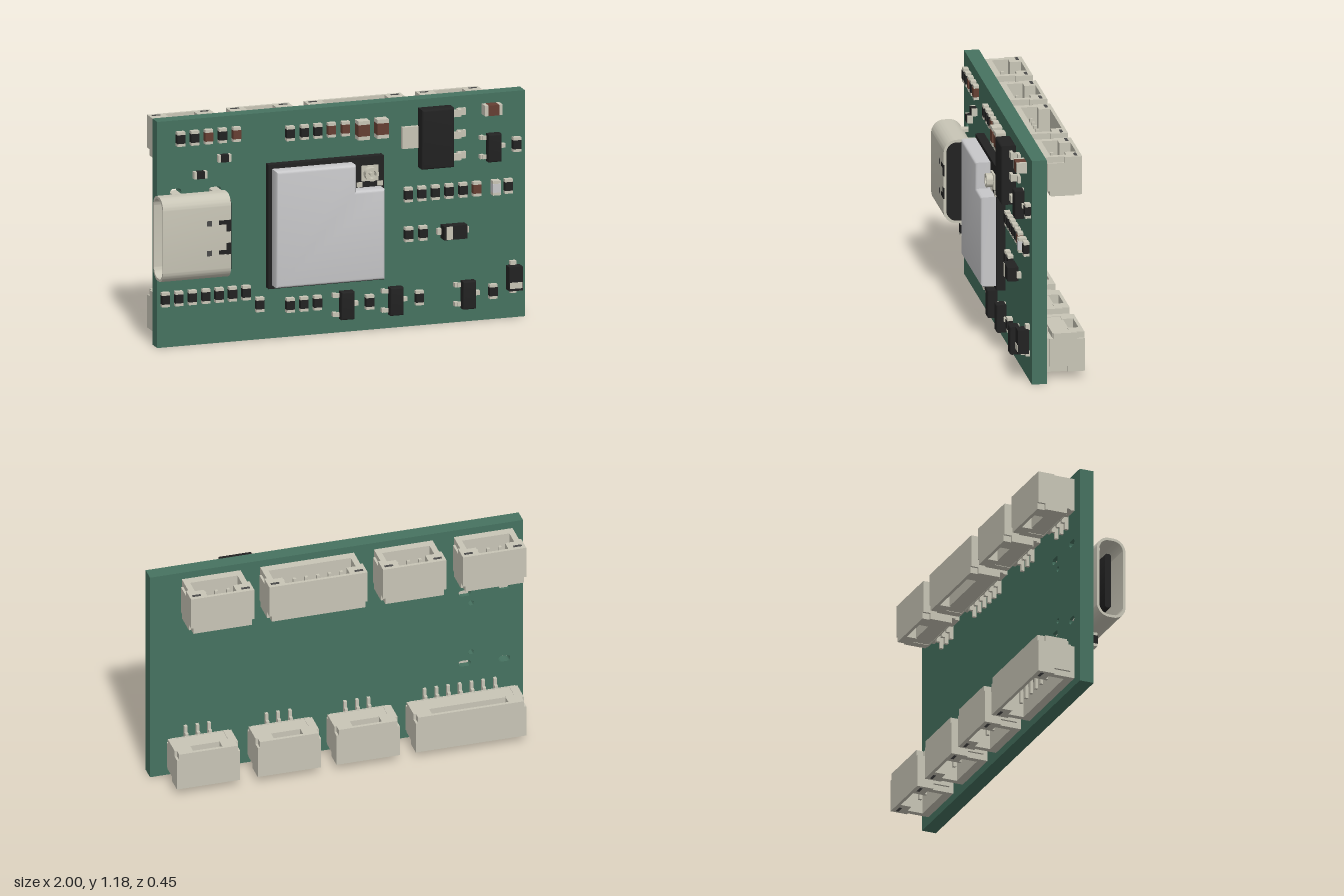
import * as THREE from 'three';
import { toCreasedNormals } from 'three/addons/utils/BufferGeometryUtils.js';

const mat = (name, color) => Object.assign(new THREE.MeshStandardMaterial({ color }), { name });

export function createModel() {
  const M = {
    green: mat('boardGreen', 0x467260), beige: mat('tinBeige', 0xc8c5b6), grey: mat('shieldGrey', 0xc8c8ca),
    black: mat('plasticBlack', 0x222222), brown: mat('ceramicBrown', 0x653f33), dark: mat('darkGrey', 0x4a4a4a),
  };
  const root = new THREE.Group();
  root.name = 'circuitBoard';
  const F = 0.062; // front face of the board

  const add = (parent, geo, material, name) => {
    const m = new THREE.Mesh(geo, material);
    m.name = name;
    parent.add(m);
    return m;
  };
  // Box from its minimum and maximum corners
  const box = (parent, name, material, x0, x1, y0, y1, z0, z1) => {
    const m = add(parent, new THREE.BoxGeometry(x1 - x0, y1 - y0, z1 - z0), material, name);
    m.position.set((x0 + x1) / 2, (y0 + y1) / 2, (z0 + z1) / 2);
    return m;
  };
  const rect = (C, x0, x1, y0, y1) => new C([[x0, y0], [x1, y0], [x1, y1], [x0, y1]].map(p => new THREE.Vector2(...p)));
  const rounded = (C, cx, cy, w, h, r) => {
    const s = new C(), X = w / 2 - r, Y = h / 2 - r;
    s.absarc(cx + X, cy + Y, r, 0, Math.PI / 2);
    s.absarc(cx - X, cy + Y, r, Math.PI / 2, Math.PI);
    s.absarc(cx - X, cy - Y, r, Math.PI, Math.PI * 1.5);
    s.absarc(cx + X, cy - Y, r, Math.PI * 1.5, Math.PI * 2);
    s.closePath();
    return s;
  };
  const extrude = (shape, depth, bevel = 0) => toCreasedNormals(new THREE.ExtrudeGeometry(shape, {
    depth, bevelEnabled: bevel > 0, bevelSize: bevel, bevelThickness: bevel, bevelOffset: -bevel, bevelSegments: 3, curveSegments: 8,
  }), 0.6);

  // Board with socket mounting holes
  const pcb = rect(THREE.Shape, -0.975, 1, 0, 1.185);
  for (const s of [-1, 1]) {
    pcb.holes.push(rounded(THREE.Path, -0.665, 0.595 + s * 0.208, 0.065, 0.034, 0.016));
    pcb.holes.push(rounded(THREE.Path, -0.876, 0.595 + s * 0.215, 0.06, 0.034, 0.016));
    pcb.holes.push(rounded(THREE.Path, -0.70, 0.595 + s * 0.145, 0.028, 0.028, 0.013));
  }
  add(root, extrude(pcb, 0.077), M.green, 'board').position.z = -0.015;

  // Two-ended chip components: terminals at the ends of the long axis
  const chip = (x, y, material = M.black, w = 0.042, len = 0.076, t = 0.03, horizontal = false) => {
    const g = new THREE.Group();
    g.name = 'chipComponent';
    g.position.set(x, y, F);
    if (horizontal) g.rotation.z = Math.PI / 2;
    const e = len * 0.2;
    box(g, 'chipBody', material, -w / 2, w / 2, -len / 2 + e, len / 2 - e, 0, t);
    for (const s of [-1, 1]) {
      const c = s * (len / 2 - e / 2);
      box(g, 'chipTerminal', M.beige, -w / 2, w / 2, c - e / 2, c + e / 2, 0, t - 0.002);
    }
    root.add(g);
  };
  const row = (y, xs, material, ...size) => xs.forEach(x => chip(x, y, material, ...size));
  row(1.09, [-0.855, -0.78, -0.63]);
  row(1.09, [-0.705, -0.555], M.brown);
  row(1.07, [-0.267, -0.19, -0.118]);
  row(1.07, [-0.045, 0.03], M.brown);
  row(1.06, [0.118, 0.22], M.brown, 0.062, 0.1, 0.055);
  row(0.695, [0.368, 0.44, 0.513, 0.587, 0.662, 0.905]);
  row(0.695, [0.735], M.brown);
  row(0.695, [0.835], M.grey, 0.042, 0.076, 0.045);
  row(0.487, [0.37, 0.447]);
  row(0.255, [-0.937, -0.865, -0.792, -0.72, -0.648, -0.576, -0.503]);
  row(0.187, [-0.43]);
  row(0.17, [-0.267, -0.193, -0.12]);
  row(0.15, [0.16, 0.427, 0.823]);
  row(0.91, [0.95]);
  chip(-0.62, 0.97, M.black, 0.038, 0.07, 0.03, true);
  chip(-0.75, 0.893, M.black, 0.038, 0.07, 0.03, true);
  chip(0.815, 1.107, M.brown, 0.055, 0.095, 0.055, true);

  // Diodes with a pale cathode band
  const diode = (x, y, turn) => {
    const g = new THREE.Group();
    g.name = 'diode';
    g.position.set(x, y, F);
    g.rotation.z = turn;
    box(g, 'diodeBody', M.black, -0.063, 0.063, -0.036, 0.036, 0.01, 0.066);
    box(g, 'diodeBand', M.beige, -0.05, -0.018, -0.034, 0.034, 0.06, 0.069);
    for (const s of [-1, 1]) box(g, 'diodeLead', M.beige, s * 0.07 - 0.014, s * 0.07 + 0.014, -0.016, 0.016, 0, 0.022);
    root.add(g);
  };
  diode(0.607, 0.487, 0);
  diode(0.93, 0.217, Math.PI / 2);

  // Small three-lead transistors
  for (const [x, y] of [[0.03, 0.15], [0.293, 0.15], [0.683, 0.15], [0.82, 0.91]]) {
    const g = new THREE.Group();
    g.name = 'transistor';
    g.position.set(x, y, F);
    add(g, extrude(rect(THREE.Shape, -0.035, 0.035, -0.073, 0.073), 0.037, 0.008), M.black, 'transistorBody').position.z = 0.018;
    for (const [s, ly] of [[-1, 0.05], [-1, -0.05], [1, 0]]) {
      box(g, 'transistorLead', M.beige, s * 0.043 - 0.013, s * 0.043 + 0.013, ly - 0.011, ly + 0.011, 0.018, 0.028);
      box(g, 'transistorFoot', M.beige, s * 0.058 - 0.01, s * 0.058 + 0.01, ly - 0.011, ly + 0.011, 0, 0.024);
    }
    root.add(g);
  }

  // Voltage regulator with tab and three leads
  const reg = new THREE.Group();
  reg.name = 'regulator';
  root.add(reg);
  add(reg, extrude(rect(THREE.Shape, 0.42, 0.592, 0.835, 1.147), 0.058, 0.01), M.black, 'regulatorBody').position.z = 0.08;
  box(reg, 'regulatorTab', M.beige, 0.335, 0.425, 0.937, 1.05, F, 0.085);
  for (const y of [0.877, 0.99, 1.105]) {
    box(reg, 'regulatorLead', M.beige, 0.58, 0.645, y - 0.018, y + 0.018, 0.092, 0.107);
    box(reg, 'regulatorLeadBend', M.beige, 0.63, 0.645, y - 0.018, y + 0.018, F, 0.107);
    box(reg, 'regulatorFoot', M.beige, 0.635, 0.678, y - 0.018, y + 0.018, F, 0.077);
  }

  // Radio module: carrier, notched shield can and coaxial socket
  const radio = new THREE.Group();
  radio.name = 'radioModule';
  root.add(radio);
  box(radio, 'moduleCarrier', M.black, -0.392, 0.228, 0.27, 0.92, F, 0.107);
  const can = new THREE.Shape([[-0.375, 0.29], [0.208, 0.29], [0.208, 0.762], [0.053, 0.762], [0.053, 0.9], [-0.375, 0.9]]
    .map(p => new THREE.Vector2(...p)));
  add(radio, extrude(can, 0.062, 0.014), M.grey, 'shieldCan').position.z = 0.109;
  box(radio, 'socketBase', M.beige, 0.105, 0.195, 0.795, 0.875, 0.107, 0.117);
  for (const s of [-1, 1]) box(radio, 'socketPad', M.beige, 0.15 + s * 0.055 - 0.015, 0.15 + s * 0.055 + 0.015, 0.765, 0.79, 0.107, 0.113);
  const ring = add(radio, new THREE.LatheGeometry([[0.022, 0], [0.022, 0.035], [0.036, 0.035], [0.036, 0]]
    .map(p => new THREE.Vector2(...p)).reverse(), 24), M.beige, 'socketRing');
  ring.material = M.beige;
  ring.geometry = toCreasedNormals(ring.geometry, 0.6);
  const pin = add(radio, new THREE.CylinderGeometry(0.009, 0.009, 0.03, 12), M.beige, 'socketPin');
  for (const m of [ring, pin]) m.rotation.x = Math.PI / 2;
  ring.position.set(0.15, 0.835, 0.115);
  pin.position.set(0.15, 0.835, 0.13);

  // Charging socket: hollow rounded shell open towards -x
  const port = new THREE.Group();
  port.name = 'chargingSocket';
  root.add(port);
  const cz = 0.148, cy = 0.595;
  const alongX = (shape, x0, len) => extrude(shape, len).rotateY(Math.PI / 2).translate(x0, 0, 0);
  const shell = rounded(THREE.Shape, -cz, cy, 0.158, 0.442, 0.066);
  shell.holes.push(rounded(THREE.Path, -cz, cy, 0.13, 0.414, 0.052));
  add(port, alongX(shell, -1, 0.365), M.beige, 'socketShell');
  add(port, alongX(rounded(THREE.Shape, -cz, cy, 0.128, 0.41, 0.05), -0.7, 0.072), M.black, 'socketRear');
  add(port, alongX(rounded(THREE.Shape, -cz, cy, 0.034, 0.3, 0.012), -0.96, 0.27), M.black, 'socketTongue');
  box(port, 'socketRearFoot', M.black, -0.66, -0.628, 0.43, 0.76, F, 0.1);
  for (let i = 0; i < 12; i++) {
    const y = cy + (i - 5.5) * 0.027;
    box(port, 'socketContact', M.beige, -0.635, -0.615, y - 0.007, y + 0.007, F, 0.08);
  }
  for (const s of [-1, 1]) {
    const y = cy + s * 0.078;
    box(port, 'shellSlot', M.dark, -0.765, -0.738, y - 0.014, y + 0.014, 0.222, 0.2285);
    box(port, 'clipSlot', M.black, -0.70, -0.634, y - 0.01, y + 0.012, 0.222, 0.2285);
    box(port, 'clipSlotSide', M.black, -0.66, -0.634, cy + s * 0.06 - 0.03, cy + s * 0.06 + 0.03, 0.222, 0.2285);
    for (const x of [-0.876, -0.665]) {
      const ly = cy + s * (x < -0.8 ? 0.2 : 0.205);
      box(port, 'shellLeg', M.beige, x - 0.024, x + 0.024, ly - 0.008, ly + 0.008, 0.0, 0.13);
    }
  }

  // Rear wire connectors: mouth along +y, window in the rear lip, leads along -y
  const connector = (x0, x1, pins, bottom) => {
    const g = new THREE.Group(), w = x1 - x0, h = w / 2, b = h - 0.012;
    g.name = 'wireConnector';
    g.position.set((x0 + x1) / 2, bottom ? 0.1375 : 1.0475, 0);
    if (bottom) g.rotation.z = Math.PI;
    const body = rect(THREE.Shape, -b, b, 0.06, 0.225), c = h - 0.042, win = (w - 0.18) / 2;
    body.holes.push(new THREE.Path([[-c, 0.066], [c, 0.066], [c, 0.15], [win, 0.15], [win, 0.208], [-win, 0.208], [-win, 0.15], [-c, 0.15]]
      .map(p => new THREE.Vector2(...p))));
    add(g, extrude(body, 0.205).rotateX(-Math.PI / 2).translate(0, -0.1025, 0), M.beige, 'connectorHousing');
    box(g, 'connectorBase', M.beige, -b, b, -0.075, 0.1025, -0.061, -0.02);
    box(g, 'connectorFloor', M.beige, -c, c, -0.1, -0.04, -0.156, -0.062);
    for (const s of [-1, 1]) {
      const side = (name, y0, y1, z0, z1) => box(g, name, M.beige, Math.min(s * b, s * h), Math.max(s * b, s * h), y0, y1, z0, z1);
      side('connectorCheek', -0.075, 0.072, -0.135, -0.045);
      side('connectorRearCheek', -0.07, 0.1025, -0.225, -0.135);
      side('connectorClip', -0.1025, -0.07, -0.185, -0.065);
      box(g, 'cheekSlot', M.dark, s * (h - 0.038) - 0.022, s * (h - 0.038) + 0.022, 0.1, 0.1045, -0.203, -0.188);
    }
    for (let i = 0; i < pins; i++) {
      const x = (i - (pins - 1) / 2) * 0.062;
      box(g, 'contactPin', M.beige, x - 0.008, x + 0.008, -0.05, 0.06, -0.116, -0.1);
      box(g, 'solderLead', M.beige, x - 0.008, x + 0.008, -0.142, -0.07, -0.034, -0.015);
      box(g, 'leadRise', M.beige, x - 0.008, x + 0.008, -0.108, -0.07, -0.052, -0.03);
    }
    root.add(g);
  };
  [[0.51, 0.845, 3], [-0.09, 0.43, 6], [-0.507, -0.172, 3], [-0.93, -0.595, 3]].forEach(c => connector(...c, false));
  [[0.585, 0.92, 3], [0.157, 0.492, 3], [-0.26, 0.075, 3], [-0.93, -0.345, 7]].forEach(c => connector(...c, true));

  return root;
}
